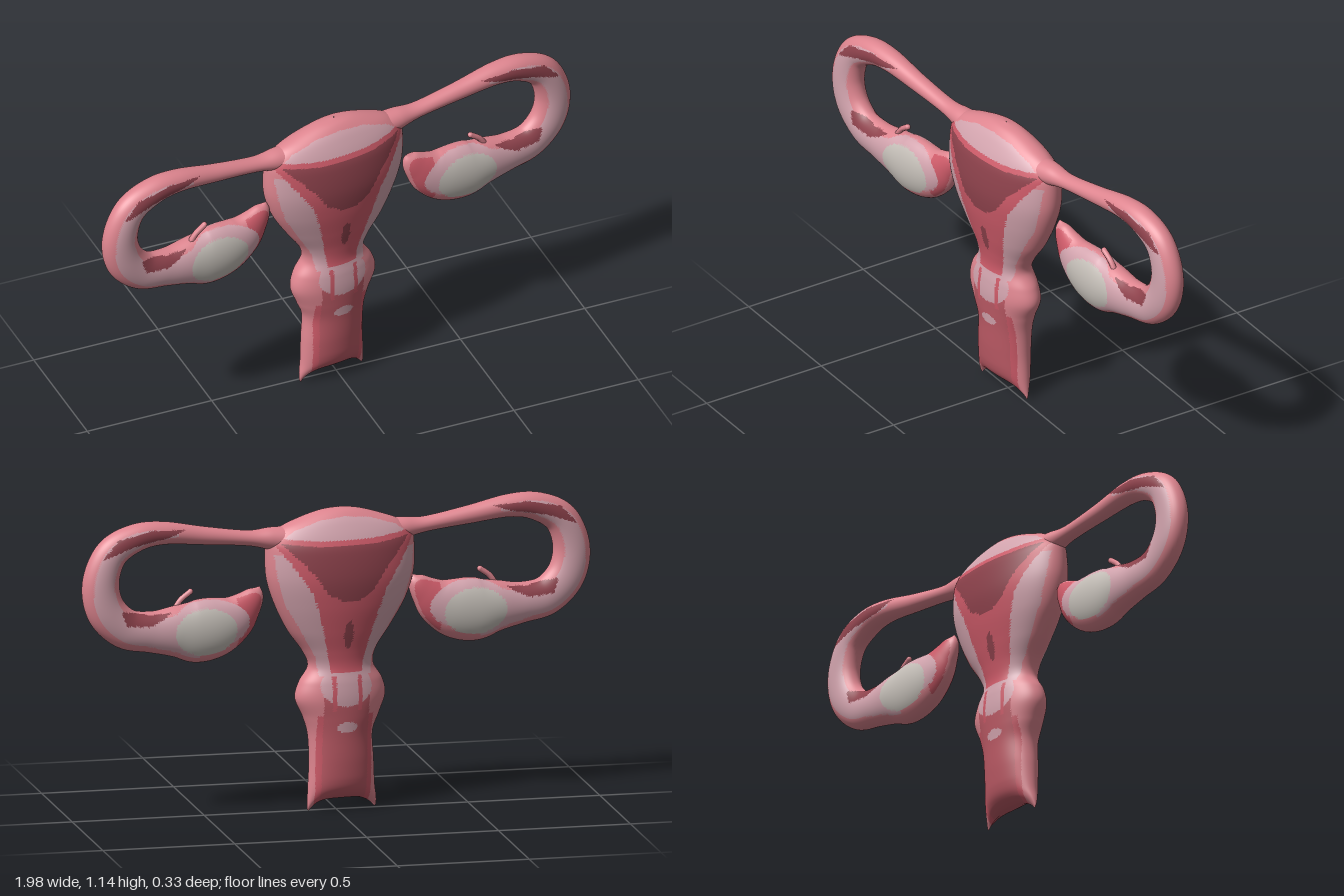
import * as THREE from 'three';

const mat = (name, color, side) => {
  const m = new THREE.MeshStandardMaterial({ color });
  m.name = name;
  if (side) m.side = side;
  return m;
};

// Smooth curve through rows of numbers: returns t => interpolated row
function through(rows) {
  const pick = k => new THREE.CatmullRomCurve3(
    rows.map(r => new THREE.Vector3(r[k], r[k + 1], 0)), false, 'catmullrom', 0.5);
  const a = pick(0), b = pick(2);
  return t => {
    const p = a.getPoint(t), q = b.getPoint(t);
    return [p.x, p.y, q.x, q.y];
  };
}

// Closed-ring surface; each face takes the material index given by colourAt(x, y, z)
function paintedLoft(rows, sides, pointAt, colourAt, materials, flip = false) {
  const pos = [], buckets = materials.map(() => []);
  for (let i = 0; i <= rows; i++)
    for (let j = 0; j < sides; j++) pos.push(...pointAt(i / rows, j / sides * Math.PI * 2));
  const add = (a, b, c) => {
    const mid = k => (pos[a * 3 + k] + pos[b * 3 + k] + pos[c * 3 + k]) / 3;
    buckets[colourAt(mid(0), mid(1), mid(2))].push(a, ...(flip ? [c, b] : [b, c]));
  };
  for (let i = 0; i < rows; i++)
    for (let j = 0; j < sides; j++) {
      const k = (j + 1) % sides, a = i * sides + j, b = i * sides + k;
      add(a, a + sides, b);
      add(b, a + sides, b + sides);
    }
  const g = new THREE.BufferGeometry();
  g.setAttribute('position', new THREE.Float32BufferAttribute(pos, 3));
  g.setIndex(buckets.flat());
  let start = 0;
  buckets.forEach((b, m) => { if (b.length) g.addGroup(start, b.length, m); start += b.length; });
  g.computeVertexNormals();
  return new THREE.Mesh(g, materials);
}

// Point-in-polygon and point-in-ellipse tests for the painted areas
function inside(poly, x, y) {
  let hit = false;
  poly.forEach(([ax, ay], i) => {
    const [bx, by] = poly[(i + 1) % poly.length];
    if ((ay > y) !== (by > y) && x < (bx - ax) * (y - ay) / (by - ay) + ax) hit = !hit;
  });
  return hit;
}
const oval = (x, y, cx, cy, rx, ry) => ((x - cx) / rx) ** 2 + ((y - cy) / ry) ** 2 < 1;

const PINK = 0, PALE = 1, RED = 2, MAROON = 3, IVORY = 4, WALL = 5;
const CENTRE = -0.015;

// Painted areas of the body, as (distance from the middle, height)
const dome = [[0, 1.02], [0.1, 1.035], [0.25, 1.05], [0.2, 1.085], [0.1, 1.118], [0, 1.128]];
const lining = [[-1, 1.045], [0.1, 1.048], [0.29, 1.062], [0.2, 0.94], [0.14, 0.85],
  [0.1, 0.72], [0.07, 0.6], [0.06, 0.54], [-1, 0.54]];
const cavity = [[-1, 1.02], [0.1, 1.028], [0.25, 1.042], [0.14, 0.93], [0.09, 0.855], [0.03, 0.82], [-1, 0.82]];
const muscle = [[-1, 1.03], [0.275, 1.0], [0.262, 0.9], [0.23, 0.8], [0.17, 0.7], [0.112, 0.6], [0.1, 0.53], [-1, 0.53]];

function bodyColour(x, y) {
  const u = Math.abs(x - CENTRE);
  if (oval(u, y, 0, 0.69, 0.018, 0.055) || inside(cavity, u, y)) return MAROON;
  if (inside(lining, u, y)) return RED;
  if (inside(dome, u, y) || inside(muscle, u, y)) return PALE;
  if (y > 0.4 && y < 0.56 && Math.abs(u - 0.05) < 0.008) return RED;
  if (oval(u, y, 0, 0.49, 0.1, 0.075) || oval(u, y, 0, 0.335, 0.04, 0.02)) return PALE;
  if (u < 0.088 && y < 0.46) return WALL;
  if (u < 0.108 && y < 0.38) return RED;
  return PINK;
}

// Painted areas of a tube and its ovary
const upperStreak = [[0.6, 1.12], [0.74, 1.128], [0.87, 1.1], [0.935, 1.03], [0.82, 1.07], [0.68, 1.095]];
const lowerStreak = [[0.66, 0.81], [0.74, 0.805], [0.86, 0.83], [0.84, 0.775], [0.75, 0.765], [0.7, 0.785]];

function tubeColour(x, y, z) {
  const u = Math.abs(x), d = Math.abs(z);
  if (d > 0.008 && (inside(upperStreak, u, y) || inside(lowerStreak, u, y))) return MAROON;
  if (oval(u, y, 0.53, 0.73, 0.122, 0.087)) return IVORY;
  if (oval(u, y, 0.51, 0.755, 0.155, 0.09)) return PALE;
  if (u < 0.4 && y < 0.87 && d > 0.022) return RED;
  if (u > 0.55 && d > 0.042) return PALE;
  return PINK;
}

export function createModel() {
  const model = new THREE.Group();
  model.name = 'model';
  const materials = [
    mat('pink tissue', 0xde858f), mat('pale tissue', 0xd2a3ad), mat('red lining', 0xcc5a68),
    mat('maroon cavity', 0x8e424c), mat('ivory', 0xc4beb7), mat('canal wall', 0xbc5a65),
  ];

  // Body, neck and canal: height, left edge, right edge, half depth
  const bodyRow = through([
    [0.012, -0.15, 0.108, 0], [0.02, -0.157, 0.114, 0.02], [0.05, -0.157, 0.113, 0.045],
    [0.1, -0.15, 0.11, 0.063], [0.2, -0.145, 0.105, 0.075], [0.3, -0.14, 0.11, 0.08],
    [0.37, -0.165, 0.13, 0.086], [0.44, -0.19, 0.16, 0.09], [0.5, -0.178, 0.145, 0.086],
    [0.56, -0.143, 0.11, 0.077], [0.62, -0.155, 0.133, 0.083], [0.7, -0.21, 0.19, 0.1],
    [0.8, -0.27, 0.24, 0.119], [0.9, -0.302, 0.272, 0.128], [1, -0.305, 0.278, 0.118],
    [1.05, -0.295, 0.27, 0.1], [1.09, -0.25, 0.225, 0.08], [1.12, -0.175, 0.155, 0.06],
    [1.145, -0.09, 0.07, 0.034], [1.155, -0.012, -0.008, 0.002],
  ]);
  const body = paintedLoft(190, 128, (t, a) => {
    const [y, left, right, depth] = bodyRow(t), c = Math.cos(a);
    // The lower rim arches up between two corner points
    const arch = 0.045 * Math.max(0, 1 - y / 0.14) * (1 - c ** 4);
    return [(left + right) / 2 + c * (right - left) / 2, y + arch, Math.sin(a) * Math.max(depth, 0)];
  }, bodyColour, materials);
  body.name = 'body';
  model.add(body);

  // Tube curling round into the ovary: x, y, radius in the plane, half depth
  const tubeRow = through([
    [0.18, 1.045, 0.05, 0.055], [0.26, 1.055, 0.042, 0.045], [0.35, 1.063, 0.029, 0.034],
    [0.52, 1.085, 0.034, 0.036], [0.68, 1.107, 0.043, 0.045], [0.79, 1.096, 0.053, 0.05],
    [0.885, 1.042, 0.063, 0.05], [0.926, 0.935, 0.071, 0.051], [0.905, 0.83, 0.075, 0.052],
    [0.83, 0.757, 0.075, 0.052], [0.73, 0.737, 0.078, 0.056], [0.63, 0.732, 0.098, 0.065],
    [0.55, 0.726, 0.118, 0.069], [0.47, 0.738, 0.114, 0.066], [0.4, 0.768, 0.09, 0.055],
    [0.35, 0.81, 0.06, 0.04], [0.315, 0.85, 0.034, 0.024], [0.3, 0.876, 0.002, 0.002],
  ]);
  for (const side of [1, -1]) {
    const tube = paintedLoft(300, 48, (t, a) => {
      const [x, y, r, rz] = tubeRow(t);
      const p = tubeRow(Math.max(0, t - 0.01)), q = tubeRow(Math.min(1, t + 0.01));
      const dx = q[0] - p[0], dy = q[1] - p[1], k = r * Math.cos(a) / Math.hypot(dx, dy);
      return [side * (x + dy * k), y - dx * k, rz * Math.sin(a)];
    }, tubeColour, materials, side < 0);
    tube.name = side > 0 ? 'leftTubeAndOvary' : 'rightTubeAndOvary';
    model.add(tube);

    // Small fringe standing on the ovary
    const path = new THREE.CatmullRomCurve3([[0.64, 0.8], [0.61, 0.845], [0.57, 0.875]]
      .map(([x, y]) => new THREE.Vector3(side * x, y, 0.01)));
    const fringe = new THREE.Mesh(new THREE.TubeGeometry(path, 10, 0.011, 8), materials[PINK]);
    fringe.name = side > 0 ? 'leftFringe' : 'rightFringe';
    const tip = new THREE.Mesh(new THREE.SphereGeometry(0.011, 10, 8), materials[PINK]);
    tip.name = 'fringeTip';
    tip.position.set(side * 0.57, 0.875, 0.01);
    model.add(fringe, tip);
  }

  // The whole form is turned slightly about the vertical
  model.rotation.y = 0.125;
  return model;
}
